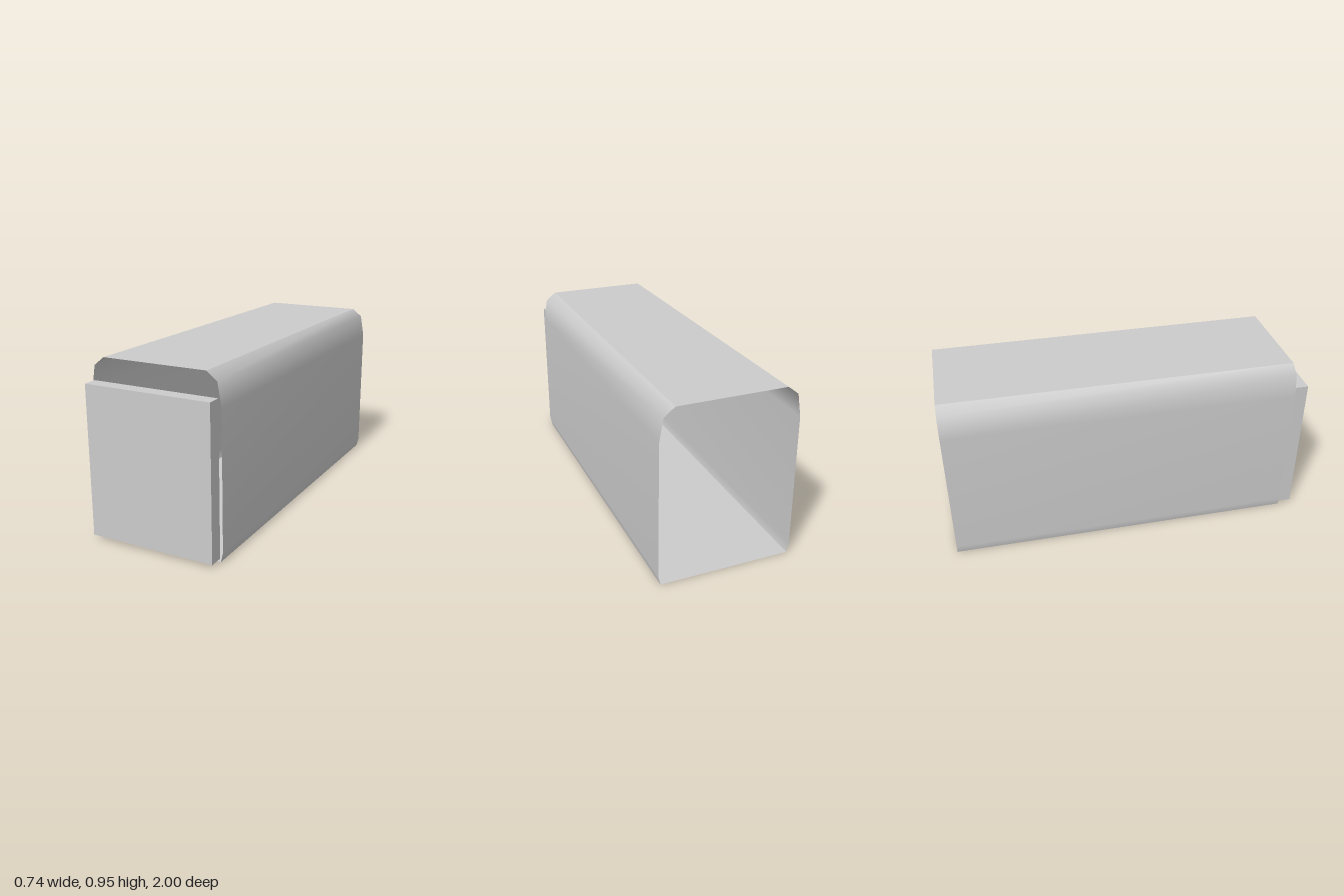
import * as THREE from 'three';

const BACK = -1, FRONT = 0.924;

// Open sheet: sweeps an [x, y] profile from back to front, smooth across its width
function sheet(name, profile, material) {
  const pos = [], index = [];
  profile.forEach(([x, y], i) => {
    pos.push(x, y, BACK, x, y, FRONT);
    if (i > 0) {
      const a = 2 * (i - 1);
      index.push(a, a + 2, a + 1, a + 1, a + 2, a + 3);
    }
  });
  const geometry = new THREE.BufferGeometry();
  geometry.setAttribute('position', new THREE.Float32BufferAttribute(pos, 3));
  geometry.setIndex(index);
  geometry.computeVertexNormals();
  const mesh = new THREE.Mesh(geometry, material);
  mesh.name = name;
  return mesh;
}

export function createModel() {
  const model = new THREE.Group();
  model.name = 'openSleeve';
  const grey = new THREE.MeshStandardMaterial({ color: 0xcccccc, side: THREE.DoubleSide });
  grey.name = 'light grey';

  // Thin sleeve, open at both ends: walls rise from the floor and curve into the roof
  const wall = [[0.356, 0], [0.368, 0.05], [0.368, 0.78], [0.347, 0.903], [0.29, 0.948]];
  const mirrored = wall.map(([x, y]) => [-x, y]).reverse();
  const shell = new THREE.Group();
  shell.name = 'shell';
  shell.add(
    sheet('leftWall', wall, grey),
    sheet('roof', [wall[4], mirrored[0]], grey),
    sheet('rightWall', mirrored, grey),
    sheet('floor', [mirrored[4], wall[0]], grey)
  );
  model.add(shell);

  // Slab standing against the front opening
  const slab = new THREE.Mesh(new THREE.BoxGeometry(0.704, 0.807, 1 - FRONT), grey);
  slab.name = 'frontSlab';
  slab.position.set(0, 0.4215, (1 + FRONT) / 2);
  model.add(slab);

  return model;
}
